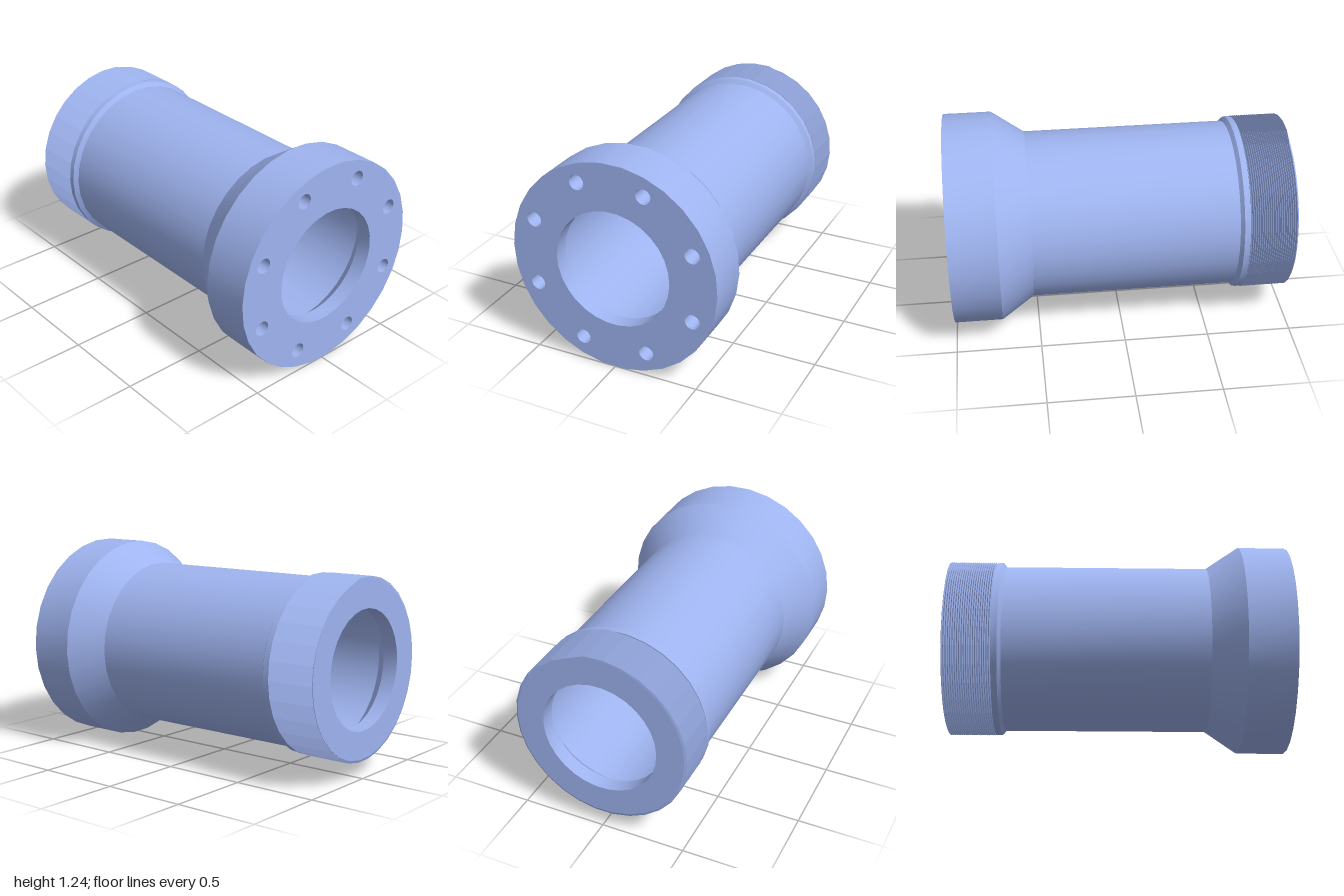
import * as THREE from 'three';
import { toCreasedNormals } from 'three/addons/utils/BufferGeometryUtils.js';
import { ParametricGeometry } from 'three/addons/geometries/ParametricGeometry.js';

const SIDES = 30;
const CENTER_Y = 0.623;
const FLANGE_R = 0.623;
const BORE_R = 0.345;
const PHASE = -0.127; // where the facets start around the axis

export function createModel() {
  const group = new THREE.Group();
  group.name = 'flangedPipe';
  const material = new THREE.MeshStandardMaterial({ color: 0x9fb4f0 });
  const insideMaterial = material.clone();
  insideMaterial.side = THREE.BackSide;
  const threadMaterial = material.clone();
  threadMaterial.flatShading = true;
  threadMaterial.side = THREE.DoubleSide;

  const add = (name, geometry, mat = material) => {
    const mesh = new THREE.Mesh(geometry, mat);
    mesh.name = name;
    mesh.position.y = CENTER_Y;
    group.add(mesh);
    return mesh;
  };

  // Pipe wall: bore from front to back, rear face, then outside back to the flange
  const profile = [
    [BORE_R, 1], [BORE_R, 0.91], [0.42, 0.835], // front lip
    [0.42, -0.835], [BORE_R, -0.91], [BORE_R, -1], // rear lip
    [0.508, -1], [0.508, -0.72], [0.52, -0.72], // thread core
    [0.52, -0.685], [0.495, -0.665], // collar
    [0.495, 0.53], [FLANGE_R, 0.72], [FLANGE_R, 1], // tube and flange
  ].map(([r, z]) => new THREE.Vector2(r, z));
  const wall = new THREE.LatheGeometry(profile, SIDES);
  wall.rotateX(Math.PI / 2).rotateZ(PHASE);
  add('pipeBody', toCreasedNormals(wall, 0.4));

  // Flange face with the bore and bolt holes cut out
  const ring = (r, cx = 0, cy = 0, n = SIDES, phase = 0) =>
    Array.from({ length: n }, (_, i) => {
      const a = phase + (i / n) * Math.PI * 2;
      return new THREE.Vector2(cx + r * Math.cos(a), cy + r * Math.sin(a));
    });
  const facePhase = PHASE - Math.PI / 2;
  const face = new THREE.Shape(ring(FLANGE_R, 0, 0, SIDES, facePhase));
  face.holes.push(new THREE.Path(ring(BORE_R, 0, 0, SIDES, facePhase)));

  // Blind bolt holes
  const holeR = 0.044, holeDepth = 0.2, boltCircle = 0.517, holeSides = 24;
  for (let i = 0; i < 8; i++) {
    const a = ((i + 0.5) / 8) * Math.PI * 2;
    const x = boltCircle * Math.cos(a), y = boltCircle * Math.sin(a);
    face.holes.push(new THREE.Path(ring(holeR, x, y, holeSides)));
    const bore = new THREE.CylinderGeometry(holeR, holeR, holeDepth, holeSides, 1, true);
    bore.rotateX(Math.PI / 2).translate(x, y, 1 - holeDepth / 2);
    add('boltHoleWall', bore, insideMaterial);
    const floor = new THREE.CircleGeometry(holeR, holeSides);
    floor.translate(x, y, 1 - holeDepth);
    add('boltHoleFloor', floor);
  }
  add('flangeFace', new THREE.ShapeGeometry(face).translate(0, 0, 1));

  // Helical screw thread: crest and root rows climb one pitch per turn
  const zStart = -1, zEnd = -0.72, turns = 22;
  const pitch = (zEnd - zStart) / turns;
  const rows = 2 * (turns + 1);
  const thread = new ParametricGeometry((u, v, target) => {
    const row = Math.round(v * rows);
    const a = u * Math.PI * 2;
    const z = zStart + (row / 2 - 1 + u) * pitch;
    const clamped = THREE.MathUtils.clamp(z, zStart, zEnd);
    const crest = row % 2 === 1 && z === clamped;
    const r = crest ? 0.523 : 0.508;
    target.set(r * Math.cos(a), r * Math.sin(a), clamped);
  }, SIDES, rows);
  thread.rotateZ(facePhase);
  add('screwThread', thread, threadMaterial);

  return group;
}
